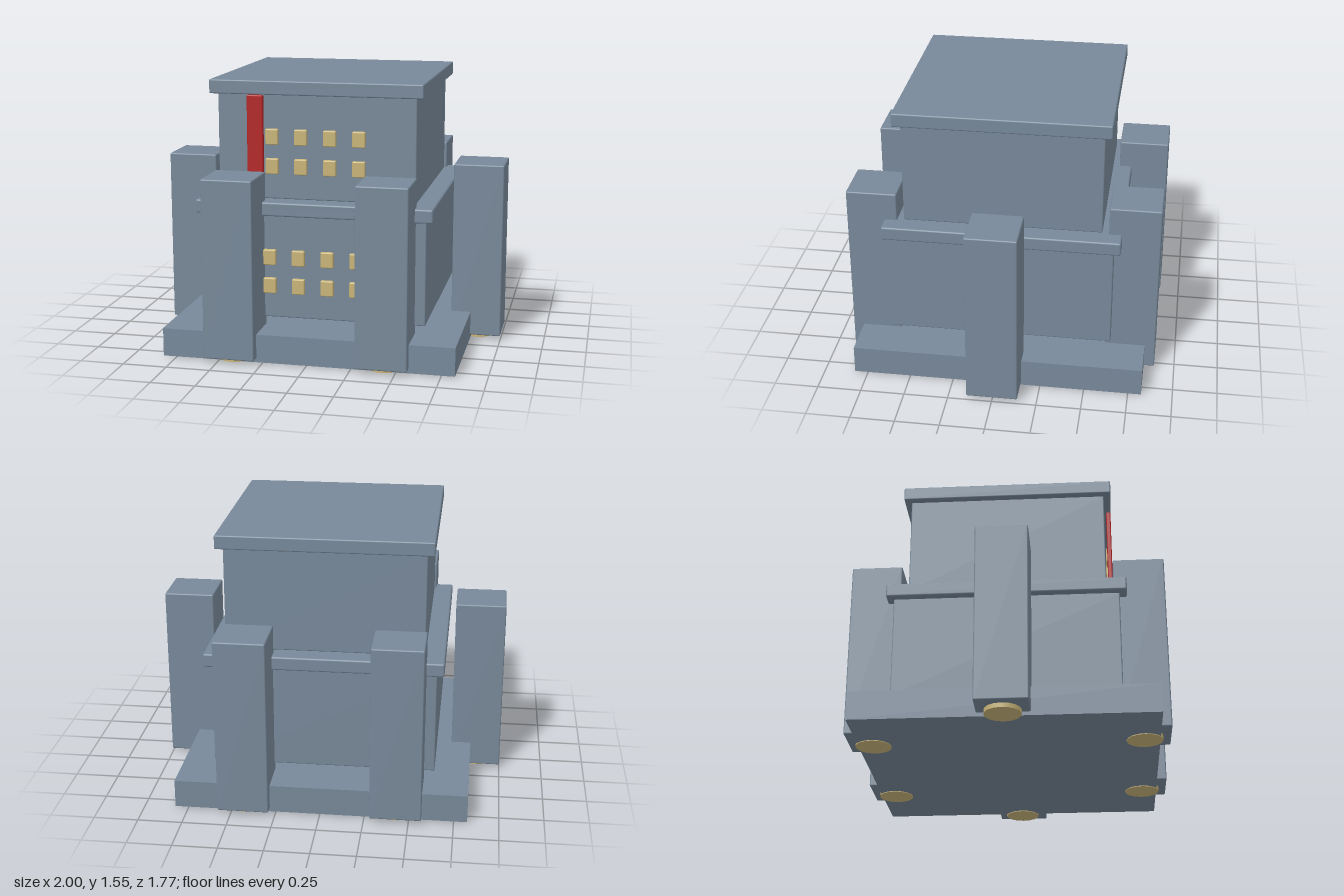
import * as THREE from 'three';
import { RoundedBoxGeometry } from 'three/addons/geometries/RoundedBoxGeometry.js';

export function createModel() {
  const model = new THREE.Group();
  model.name = 'towerBlock';

  const mat = (name, hex) => {
    const m = new THREE.MeshStandardMaterial({ color: hex });
    m.name = name;
    return m;
  };
  const stone = mat('slateStone', 0x778899);
  const sand = mat('sandGlass', 0xc8b478);
  const red = mat('bannerRed', 0xb22222);

  const add = (name, geometry, material, x, y, z) => {
    const mesh = new THREE.Mesh(geometry, material);
    mesh.name = name;
    mesh.position.set(x, y, z);
    model.add(mesh);
  };

  // Square storey with slightly softened edges, given by half width and heights
  const storey = (name, half, y0, y1, radius = 0.007) =>
    add(name, new RoundedBoxGeometry(half * 2, y1 - y0, half * 2, 2, radius), stone, 0, (y0 + y1) / 2, 0);

  // Stacked core; the lower storey hovers just above the base
  add('base', new THREE.BoxGeometry(1.65, 0.16, 1.65), stone, 0, 0.084, 0);
  storey('lowerStorey', 0.63, 0.212, 0.802);
  storey('ledge', 0.67, 0.802, 0.88, 0.01);
  storey('upperStorey', 0.56, 0.88, 1.47);
  storey('roof', 0.6, 1.468, 1.547, 0.008);

  // Buttress pillars, each on a round foot
  const pillar = new RoundedBoxGeometry(0.288, 1.014, 0.288, 2, 0.008);
  const foot = new THREE.CylinderGeometry(0.1, 0.1, 0.03, 16);
  const spots = [
    [-0.427, 0.741], [0.427, 0.741],
    [-0.427, -0.741], [0.427, -0.741],
    [-0.856, 0], [0.856, 0],
  ];
  for (const [x, z] of spots) {
    add('pillar', pillar, stone, x, 0.532, z);
    add('pillarFoot', foot, sand, x, 0.015, z);
  }

  // Two rows of four windows on the front of each storey
  const pane = new RoundedBoxGeometry(0.073, 0.089, 0.028, 2, 0.007);
  const rows = [[1.234, 0.58], [1.069, 0.58], [0.565, 0.65], [0.402, 0.65]];
  for (const [y, z] of rows) {
    for (let i = 0; i < 4; i++) add('window', pane, sand, -0.247 + i * 0.1637, y, z);
  }

  // Vertical banner under the roof
  add('banner', new RoundedBoxGeometry(0.092, 0.567, 0.026, 2, 0.007), red, -0.34, 1.182, 0.586);

  return model;
}
